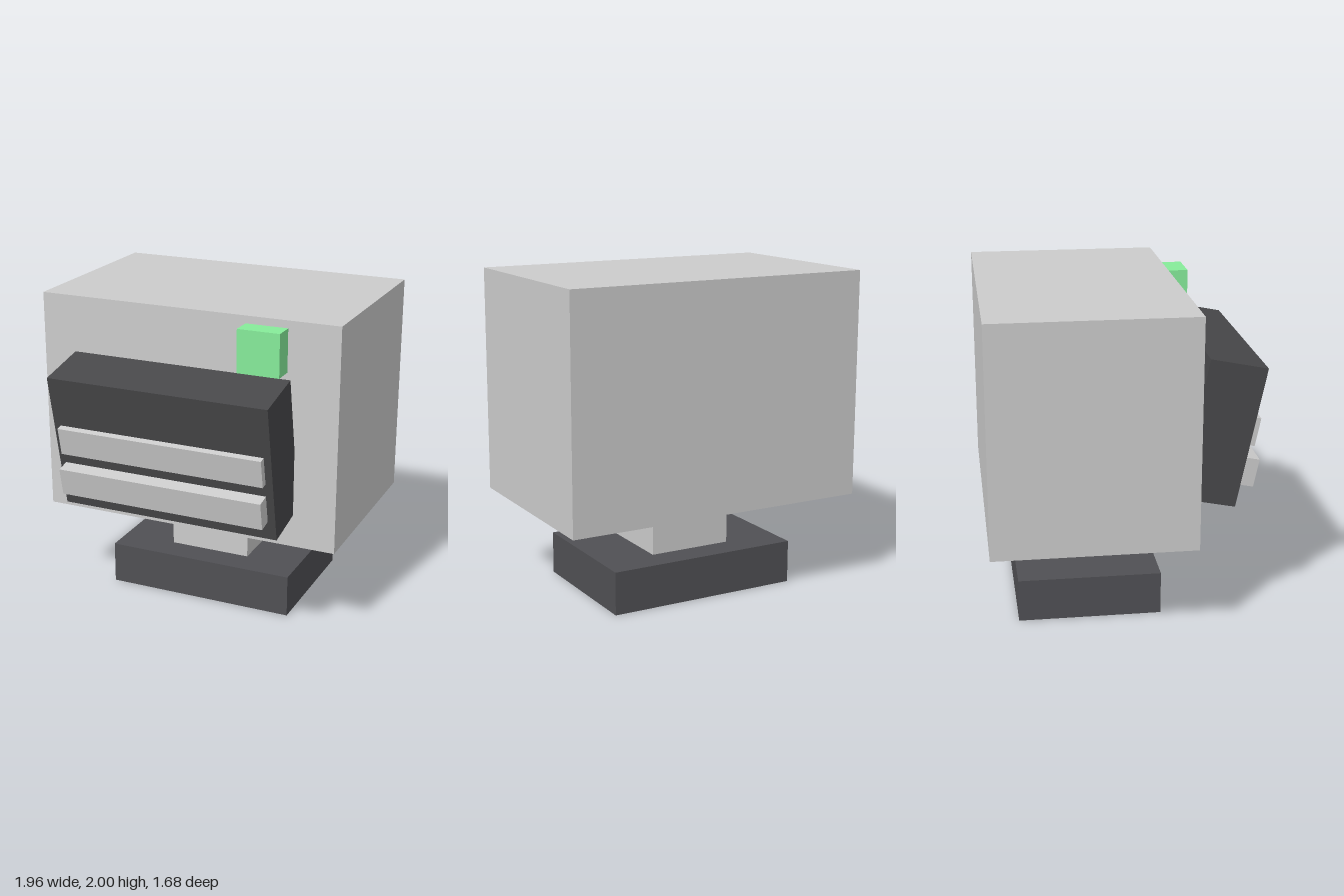
import * as THREE from 'three';

const material = (color) => new THREE.MeshStandardMaterial({ color, flatShading: true });

// Box given by its size and centre
function box(name, [w, h, d], [x, y, z], mat) {
  const mesh = new THREE.Mesh(new THREE.BoxGeometry(w, h, d), mat);
  mesh.name = name;
  mesh.position.set(x, y, z);
  return mesh;
}

export function createModel() {
  const model = new THREE.Group();
  model.name = 'boxHeadOnStand';
  const grey = material(0xcccccc);
  const dark = material(0x48484a);
  const baseDark = material(0x505054);
  const green = material(0x86ec9a);

  // Stand: base plate and neck
  model.add(box('base', [1.24, 0.27, 0.89], [0, 0.135, -0.215], baseDark));
  model.add(box('neck', [0.535, 0.31, 0.53], [0, 0.425, -0.215], grey));

  // Main housing
  model.add(box('housing', [1.96, 1.42, 1.24], [0, 1.29, -0.22], grey));

  // Front panel, leaning out at the top
  const tilt = 0.2;
  const panel = box('frontPanel', [1.42, 0.888, 0.356], [0, 1.203, 0.58], dark);
  panel.rotation.x = tilt;
  model.add(panel);

  // Two bars across the panel with the same lean
  for (const [name, y] of [['upperBar', 1.2], ['lowerBar', 0.936]]) {
    const bar = box(name, [1.33, 0.178, 0.088], [0, y, 0.76], grey);
    bar.rotation.x = tilt;
    model.add(bar);
  }

  // Indicator light floating just ahead of the housing
  model.add(box('indicatorLight', [0.266, 0.266, 0.13], [0.532, 1.828, 0.493], green));

  return model;
}
